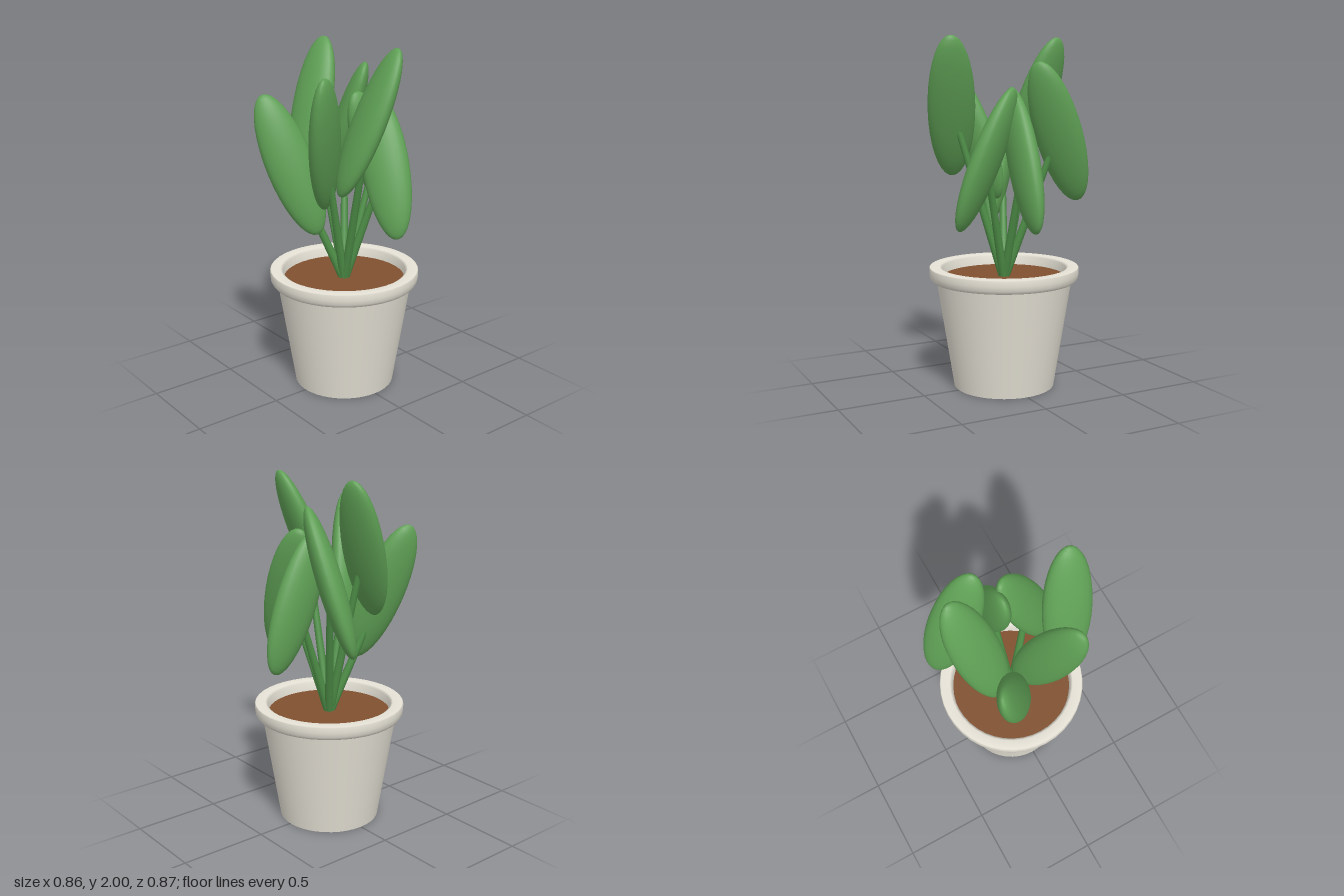
import * as THREE from 'three';

const mat = (color, side = THREE.FrontSide) =>
  new THREE.MeshStandardMaterial({ color, side });

export function createModel() {
  const model = new THREE.Group();
  model.name = 'pottedPlant';

  const ceramic = mat(0xe6e2d6, THREE.DoubleSide);
  const soilMat = mat(0x80502f);
  const leafMat = mat(0x5fa055);
  const stemMat = mat(0x4f9048);

  const add = (name, geometry, material, parent = model) => {
    const mesh = new THREE.Mesh(geometry, material);
    mesh.name = name;
    parent.add(mesh);
    return mesh;
  };
  const lathe = (pairs) =>
    new THREE.LatheGeometry(pairs.map(([r, y]) => new THREE.Vector2(r, y)), 40);

  // Tapered pot body and its base disc
  add('potBody', lathe([[0.29, 0], [0.39, 0.63]]), ceramic);
  add('potBase', new THREE.CircleGeometry(0.29, 40).rotateX(Math.PI / 2), ceramic);

  // Thick rim, rounded under its outer edge
  add('potRim', lathe([
    [0.355, 0.62], [0.39, 0.62], [0.415, 0.622], [0.427, 0.64], [0.43, 0.665],
    [0.43, 0.695], [0.425, 0.7], [0.37, 0.7], [0.355, 0.69], [0.35, 0.62],
  ]), ceramic);

  // Soil
  add('soil', new THREE.CylinderGeometry(0.352, 0.34, 0.06, 40), soilMat).position.y = 0.61;

  // Seven leaves around the centre: [distance from the centre, height]
  const leaves = [
    [0.23, 1.325], [0.235, 1.325], [0.3, 1.605], [0.235, 1.465],
    [0.305, 1.325], [0.235, 1.605], [0.31, 1.465],
  ];
  const tilt = 0.38;
  const up = new THREE.Vector3(0, 1, 0);
  const base = new THREE.Vector3(0, 0.62, 0);
  const leafGeometry = new THREE.SphereGeometry(1, 24, 18).scale(0.135, 0.42, 0.07);

  leaves.forEach(([radius, height], i) => {
    const angle = (i / leaves.length) * Math.PI * 2;
    const centre = new THREE.Vector3(Math.cos(angle) * radius, height, Math.sin(angle) * radius);
    const shoot = new THREE.Group();
    shoot.name = `shoot${i + 1}`;
    model.add(shoot);

    // Straight stem ending just inside the leaf
    const run = centre.clone().sub(base).multiplyScalar(0.87);
    const stem = add('stem', new THREE.CylinderGeometry(0.018, 0.026, run.length(), 10), stemMat, shoot);
    stem.position.copy(base).addScaledVector(run, 0.5);
    stem.quaternion.setFromUnitVectors(up, run.clone().normalize());

    // Flattened leaf, its broad side radial, leaning a different way each time
    const leaf = add('leaf', leafGeometry, leafMat, shoot);
    leaf.position.copy(centre);
    leaf.rotateY(-2 * angle).rotateZ(tilt).rotateY(angle);
  });

  model.position.z = -0.004;
  return model;
}
